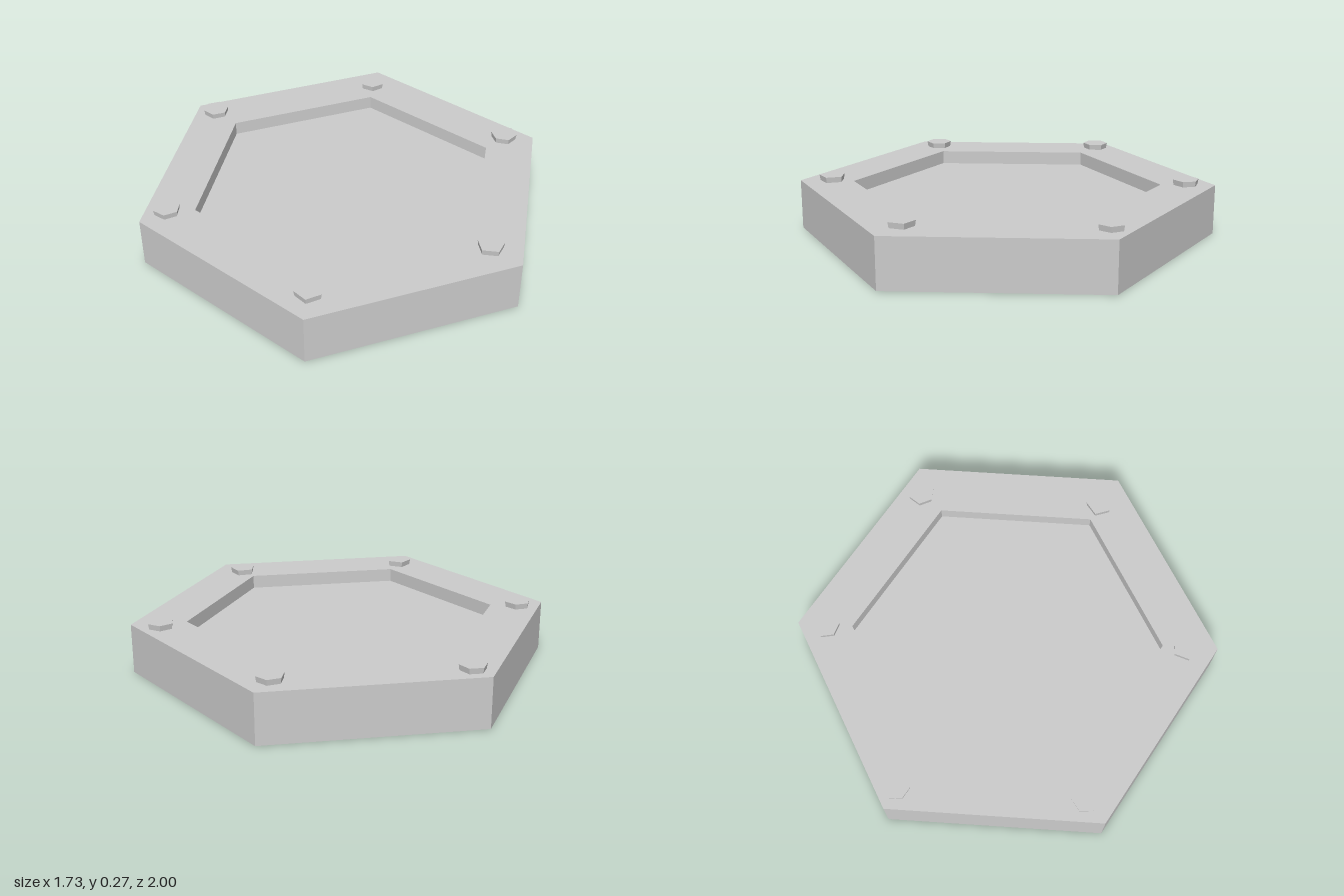
import * as THREE from 'three';

export function createModel() {
  const group = new THREE.Group();
  const sheet = new THREE.MeshStandardMaterial({ color: 0xcccccc, flatShading: true, side: THREE.DoubleSide });
  const solid = new THREE.MeshStandardMaterial({ color: 0xcccccc, flatShading: true });
  const top = 0.24, floor = 0.174, inner = 0.74;

  // Six-sided sheet swept from a profile of [radius, height] points
  function hexSheet(name, profile) {
    const points = profile.map(([r, y]) => new THREE.Vector2(r, y));
    const mesh = new THREE.Mesh(new THREE.LatheGeometry(points, 6), sheet);
    mesh.name = name;
    group.add(mesh);
  }

  // Open-bottomed tray: outer walls, flat rim, sunken panel
  hexSheet('outerWall', [[1, 0], [1, top]]);
  hexSheet('rim', [[1, top], [inner, top]]);
  hexSheet('recessWall', [[inner, top], [inner, floor]]);
  hexSheet('recessFloor', [[inner, floor], [0, floor]]);

  // Rough bolt heads near each corner: x, z, sides, turn
  const bolts = [
    [-0.01, -0.86, 6, 0.2],
    [0.72, -0.475, 6, 0.45],
    [0.72, 0.41, 5, 0.65],
    [-0.01, 0.845, 5, 0.0],
    [-0.765, 0.405, 6, 0.1],
    [-0.765, -0.45, 6, 0.0],
  ];
  bolts.forEach(([x, z, sides, turn], i) => {
    const geometry = new THREE.CylinderGeometry(0.064, 0.056, 0.05, sides);
    const bolt = new THREE.Mesh(geometry, solid);
    bolt.name = `bolt${i + 1}`;
    bolt.position.set(x, 0.242, z);
    bolt.rotation.y = turn;
    group.add(bolt);
  });

  return group;
}
